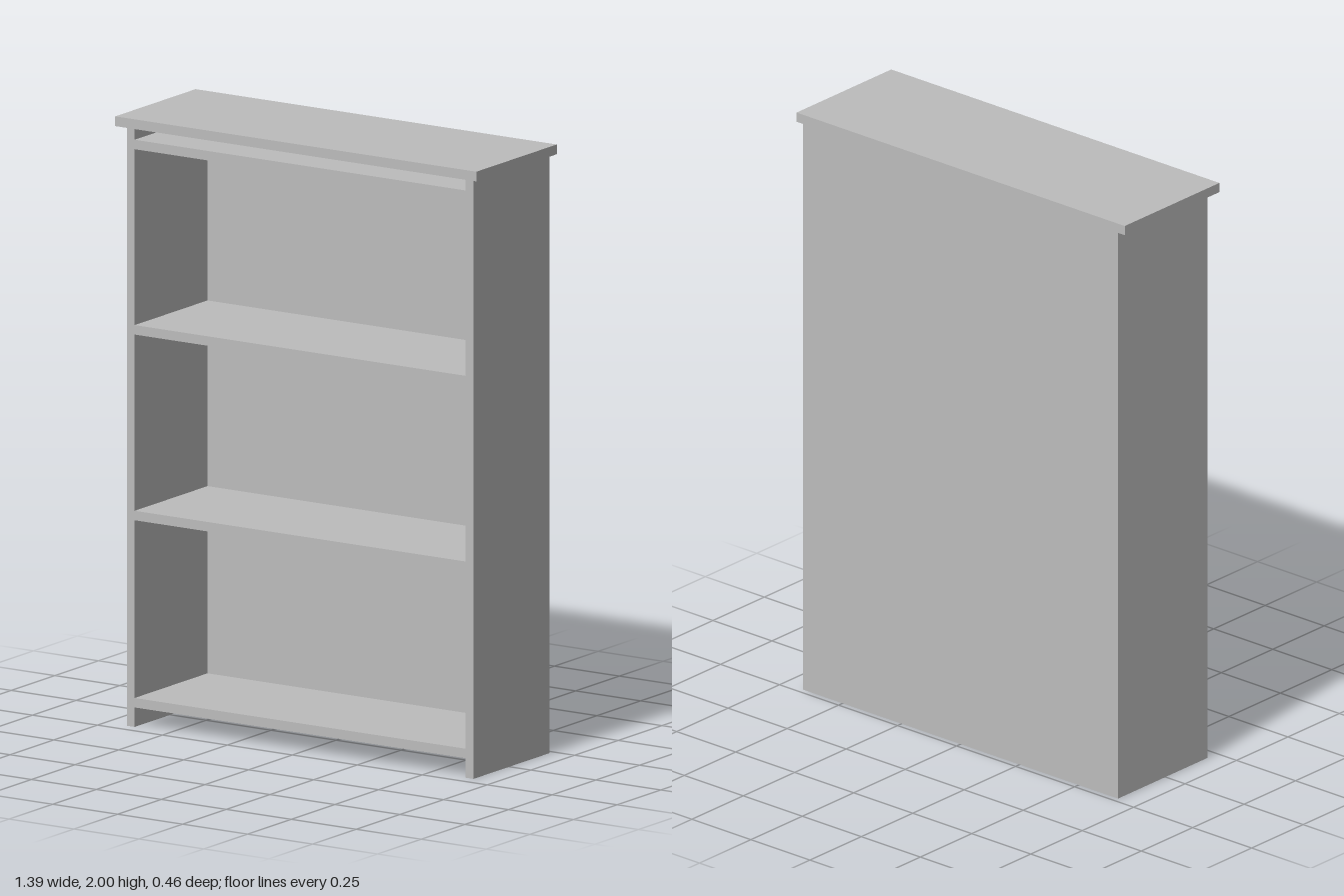
import * as THREE from 'three';

export function createModel() {
  const model = new THREE.Group();
  model.name = 'bookcase';
  const grey = new THREE.MeshStandardMaterial({ color: 0xbcbcbc });
  grey.name = 'grey';

  // Board spanning the given limits on each axis
  function board(name, [x0, x1], [y0, y1], [z0, z1]) {
    const mesh = new THREE.Mesh(new THREE.BoxGeometry(x1 - x0, y1 - y0, z1 - z0), grey);
    mesh.position.set((x0 + x1) / 2, (y0 + y1) / 2, (z0 + z1) / 2);
    mesh.name = name;
    model.add(mesh);
  }

  const outer = 0.667, inner = 0.637, front = 0.205, back = -0.23;
  const underTop = 1.968, panel = 0.018;

  // Overhanging top, flush at the back
  board('top', [-0.695, 0.695], [underTop, 2], [back, 0.23]);

  // Side panels
  board('leftSide', [inner, outer], [0, underTop], [back, front]);
  board('rightSide', [-outer, -inner], [0, underTop], [back, front]);

  // Back panel between the sides
  board('backPanel', [-inner, inner], [0, underTop], [back, back + panel]);

  // Shelves, from the raised bottom to the one just under the top
  [0.064, 0.678, 1.287, 1.895].forEach((y, i) => {
    board(`shelf${i + 1}`, [-inner, inner], [y, y + 0.031], [back + panel, front]);
  });

  return model;
}
